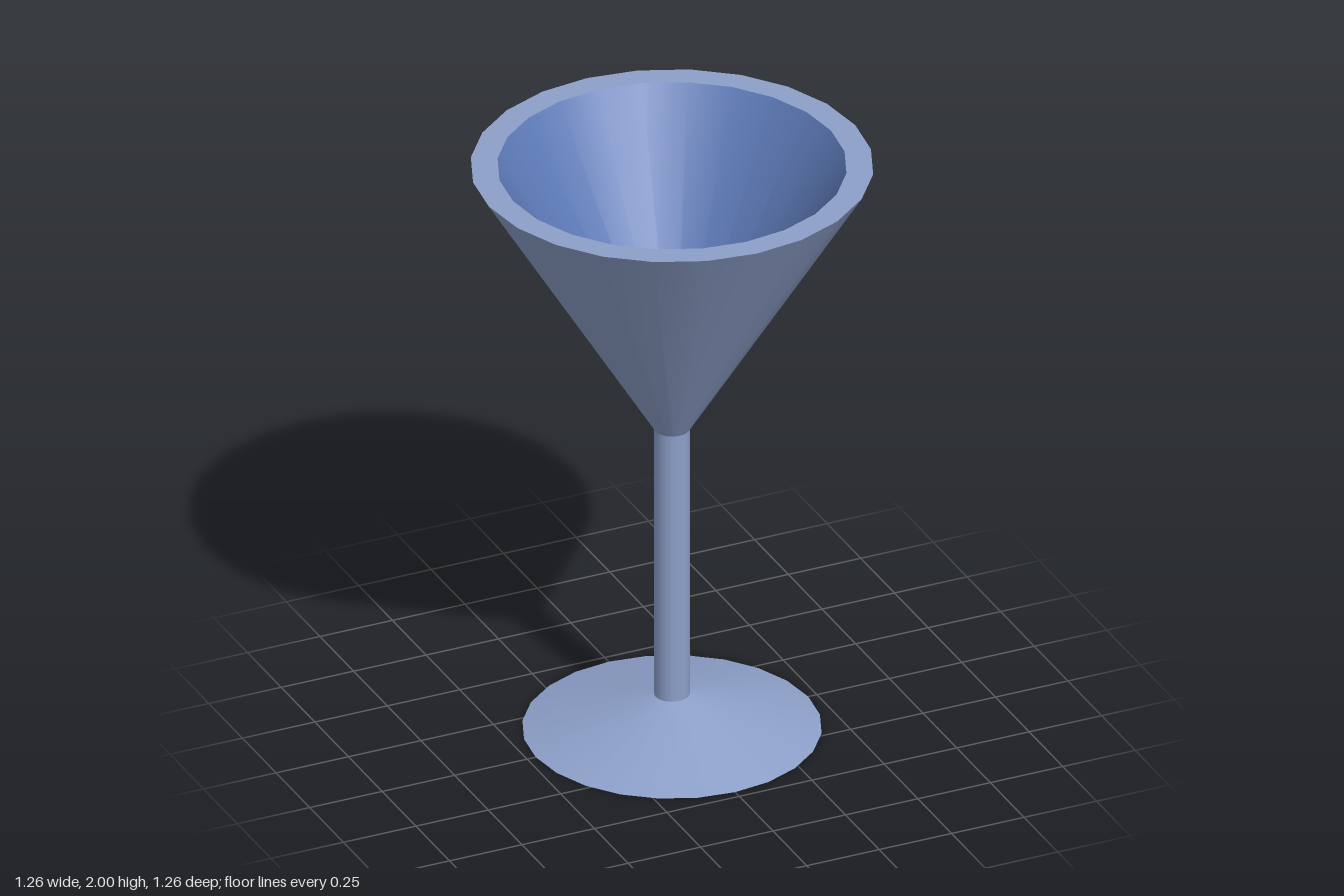
import * as THREE from 'three';

const SIDES = 24;

export function createModel() {
  const model = new THREE.Group();
  model.name = 'cocktailGlass';

  const glass = new THREE.MeshStandardMaterial({ color: 0x8c9fc8 });
  glass.name = 'pale blue glass';
  const lining = new THREE.MeshStandardMaterial({ color: 0x5c79b6 });
  lining.name = 'deep blue lining';

  // Each band is turned on its own, so edges between bands stay sharp.
  // Profiles run up the outside, across the rim and down the inside.
  const band = (name, material, ...profile) => {
    const points = profile.map(([r, y]) => new THREE.Vector2(r, y));
    const mesh = new THREE.Mesh(new THREE.LatheGeometry(points, SIDES), material);
    mesh.name = name;
    model.add(mesh);
  };

  // Foot and stem
  band('footUnderside', glass, [0, 0], [0.47, 0]);
  band('footTop', glass, [0.47, 0], [0.056, 0.12]);
  band('stem', glass, [0.056, 0.12], [0.056, 1.065]);

  // Bowl
  band('bowlOutside', glass, [0.056, 1.065], [0.632, 2]);
  band('bowlRim', glass, [0.632, 2], [0.548, 2]);
  band('bowlInside', lining, [0.548, 2], [0.06, 1.2]);
  band('bowlBottom', lining, [0.06, 1.2], [0, 1.2]);

  return model;
}
